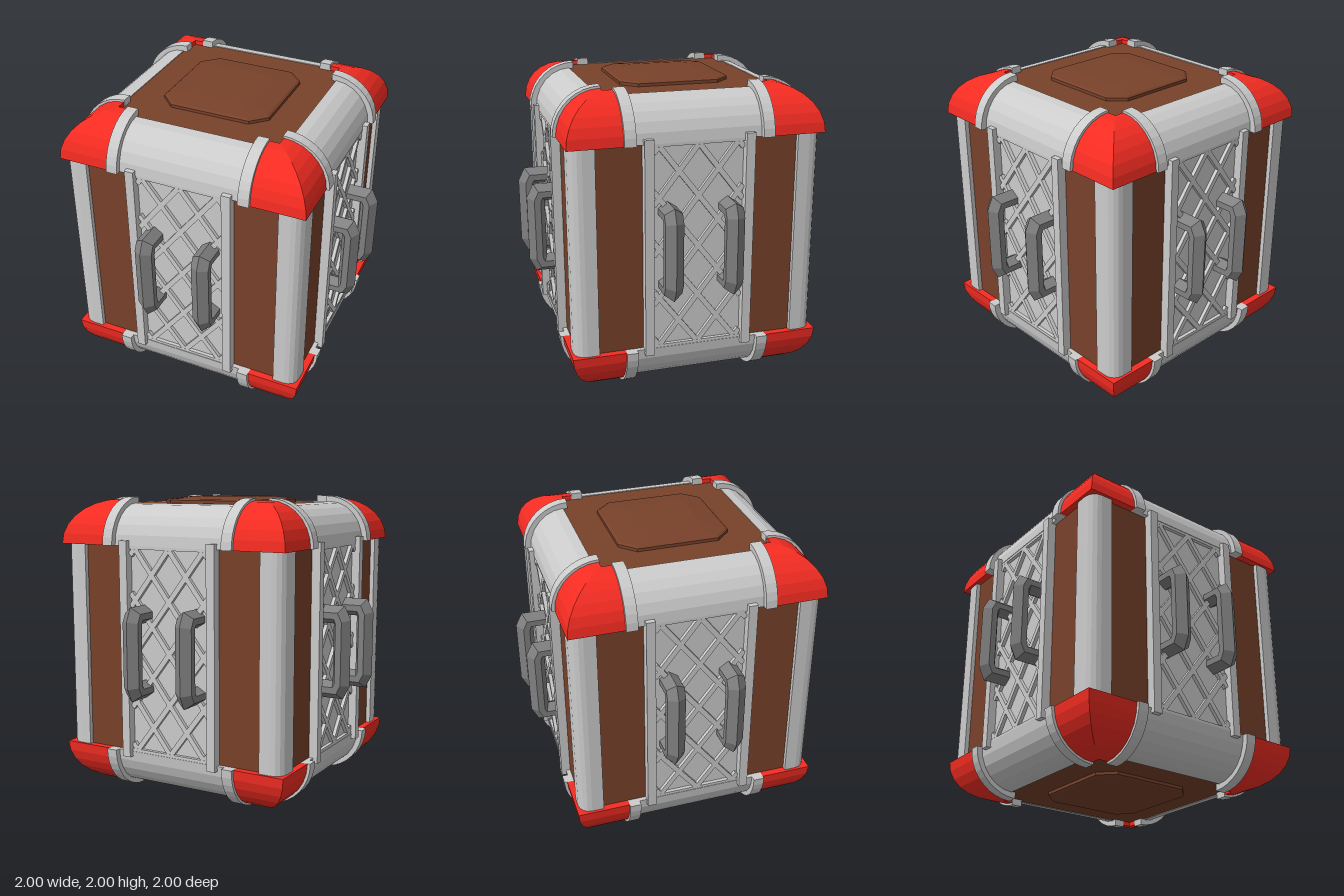
import * as THREE from 'three';

const mat = (color) => new THREE.MeshStandardMaterial({ color, flatShading: true });
const GREY = mat(0xcccccc), DARK = mat(0x808080), BROWN = mat(0x78412a), RED = mat(0xf52c22);

// Closed solid through a list of cross-section loops; winding is fixed by its volume.
function loft(sections) {
  const tris = [], n = sections[0].length;
  for (let s = 0; s < sections.length - 1; s++) {
    for (let i = 0; i < n; i++) {
      const j = (i + 1) % n, a = sections[s], b = sections[s + 1];
      tris.push([a[i], a[j], b[j]], [a[i], b[j], b[i]]);
    }
  }
  const first = sections[0], last = sections[sections.length - 1];
  for (let i = 1; i < n - 1; i++) {
    tris.push([first[0], first[i + 1], first[i]], [last[0], last[i], last[i + 1]]);
  }
  const v = (p) => new THREE.Vector3(...p);
  const volume = tris.reduce((sum, [a, b, c]) => sum + v(a).dot(v(b).cross(v(c))), 0);
  const points = tris.flatMap(([a, b, c]) => (volume > 0 ? [a, b, c] : [a, c, b]));
  const geo = new THREE.BufferGeometry();
  geo.setAttribute('position', new THREE.Float32BufferAttribute(points.flat(), 3));
  geo.computeVertexNormals();
  return geo;
}

function add(parent, name, geo, material, x = 0, y = 0, z = 0) {
  const mesh = new THREE.Mesh(geo, material);
  mesh.name = name;
  mesh.position.set(x, y, z);
  parent.add(mesh);
  return mesh;
}

const box = (w, h, d) => new THREE.BoxGeometry(w, h, d);

// Quarter-round profile as [outward, up] pairs, closed through its inner corner.
function quarterRound(inner, bottom, outer, top, steps) {
  const pts = [[inner, bottom]];
  for (let i = 0; i <= steps; i++) {
    const a = (i / steps) * Math.PI / 2;
    pts.push([inner + (outer - inner) * Math.cos(a), bottom + (top - bottom) * Math.sin(a)]);
  }
  return pts;
}

const bar = (profile, x0, x1) => loft([x0, x1].map((x) => profile.map(([r, y]) => [x, y, r])));

// Horizontal edge with its two clamps, and the mitred corner cap
function edgeAndCorner() {
  const g = new THREE.Group();
  g.name = 'edgeAndCorner';
  add(g, 'edgeRail', bar(quarterRound(0.575, 0.69, 0.82, 0.96, 6), -0.42, 0.42), GREY);
  const clamp = quarterRound(0.545, 0.69, 0.858, 1.0, 9);
  add(g, 'edgeClamp', bar(clamp, 0.41, 0.485), GREY);
  add(g, 'edgeClamp', bar(clamp, -0.485, -0.41), GREY);
  const cap = quarterRound(0.55, 0.69, 0.838, 0.985, 7);
  add(g, 'cornerCap', loft([
    cap.map(([r, y]) => [0.48, y, r]),
    cap.map(([r, y]) => [r, y, r]),
    cap.map(([r, y]) => [r, y, 0.48]),
  ]), RED);
  return g;
}

// Bracket handle with a pointed hexagonal section, bent at both ends
function handleGeometry() {
  const half = [ // outer and inner point of each section, as z and y
    [0.79, 0.31, 0.79, 0.19],
    [0.955, 0.31, 0.88, 0.19],
    [1.0, 0.22, 0.88, 0.19],
  ];
  const path = [...half, ...half.slice().reverse().map(([a, b, c, d]) => [a, -b, c, -d])];
  const ring = [[0, 0], [0.06, 0.35], [0.06, 0.7], [0, 1], [-0.06, 0.7], [-0.06, 0.35]];
  return loft(path.map(([oz, oy, iz, iy]) =>
    ring.map(([x, t]) => [x, oy + (iy - oy) * t, oz + (iz - oz) * t])));
}

// Crossed bars cut off at the panel border
function addLattice(g) {
  const W = 0.295, H = 0.67, slope = 1.3;
  for (const dir of [-1, 1]) {
    for (let k = -3; k <= 3; k++) {
      const c = k * 0.52 * 0.65;
      const xs = [(-H - c) / slope, (H - c) / slope];
      const x0 = Math.max(-W, xs[0]), x1 = Math.min(W, xs[1]);
      if (x1 - x0 < 0.03) continue;
      const length = (x1 - x0) * Math.hypot(1, slope);
      const xm = (x0 + x1) / 2;
      const m = add(g, 'latticeBar', box(0.035, length, 0.03), GREY, dir * xm, slope * xm + c, 0.802);
      m.rotation.z = -dir * Math.atan(1 / slope);
    }
  }
  for (const s of [-1, 1]) {
    add(g, 'latticeBorder', box(0.62, 0.03, 0.03), GREY, 0, s * 0.685, 0.802);
  }
}

// One side wall: grille, trim strips, handles and the corner post
function sideWall() {
  const g = new THREE.Group();
  g.name = 'sideWall';
  add(g, 'grillePlate', box(0.64, 1.38, 0.04), GREY, 0, 0, 0.773);
  addLattice(g);
  for (const s of [-1, 1]) {
    add(g, 'trimStrip', box(0.06, 1.45, 0.09), GREY, s * 0.33, 0, 0.805);
    add(g, 'handle', handleGeometry(), DARK, s * 0.2);
  }
  const post = [[0.66, 0.66], [0.66, 0.82]];
  for (let i = 0; i <= 4; i++) {
    const a = (i / 4) * Math.PI / 2;
    post.push([0.74 + 0.08 * Math.sin(a), 0.74 + 0.08 * Math.cos(a)]);
  }
  post.push([0.82, 0.66]);
  add(g, 'cornerPost', loft([-0.7, 0.7].map((y) => post.map(([x, z]) => [x, y, z]))), GREY);
  return g;
}

// Raised pad on the lid: an octagon with bevelled edges
function padGeometry() {
  const outline = (w, c, y) => [[w, c], [c, w], [-c, w], [-w, c], [-w, -c], [-c, -w], [c, -w], [w, -c]]
    .map(([x, z]) => [x, y, z]);
  return loft([outline(0.37, 0.27, 0.94), outline(0.37, 0.27, 0.975),
    outline(0.355, 0.26, 0.985), outline(0.22, 0.18, 1.0)]);
}

export function createModel() {
  const model = new THREE.Group();
  model.name = 'crate';
  const body = new THREE.Group();
  body.name = 'body';
  body.position.y = 1;
  model.add(body);

  // Core panels
  add(body, 'sidePanels', box(1.58, 1.4, 1.58), BROWN);
  add(body, 'lidAndBase', box(1.18, 1.91, 1.18), BROWN);

  for (let i = 0; i < 4; i++) {
    const wall = sideWall();
    wall.rotation.y = i * Math.PI / 2;
    body.add(wall);
  }

  // Top half, then the same turned over for the bottom
  for (const turn of [0, Math.PI]) {
    const end = new THREE.Group();
    end.name = turn ? 'bottomFrame' : 'topFrame';
    end.rotation.z = turn;
    for (let i = 0; i < 4; i++) {
      const edge = edgeAndCorner();
      edge.rotation.y = i * Math.PI / 2;
      end.add(edge);
    }
    add(end, 'raisedPad', padGeometry(), BROWN);
    body.add(end);
  }
  return model;
}
